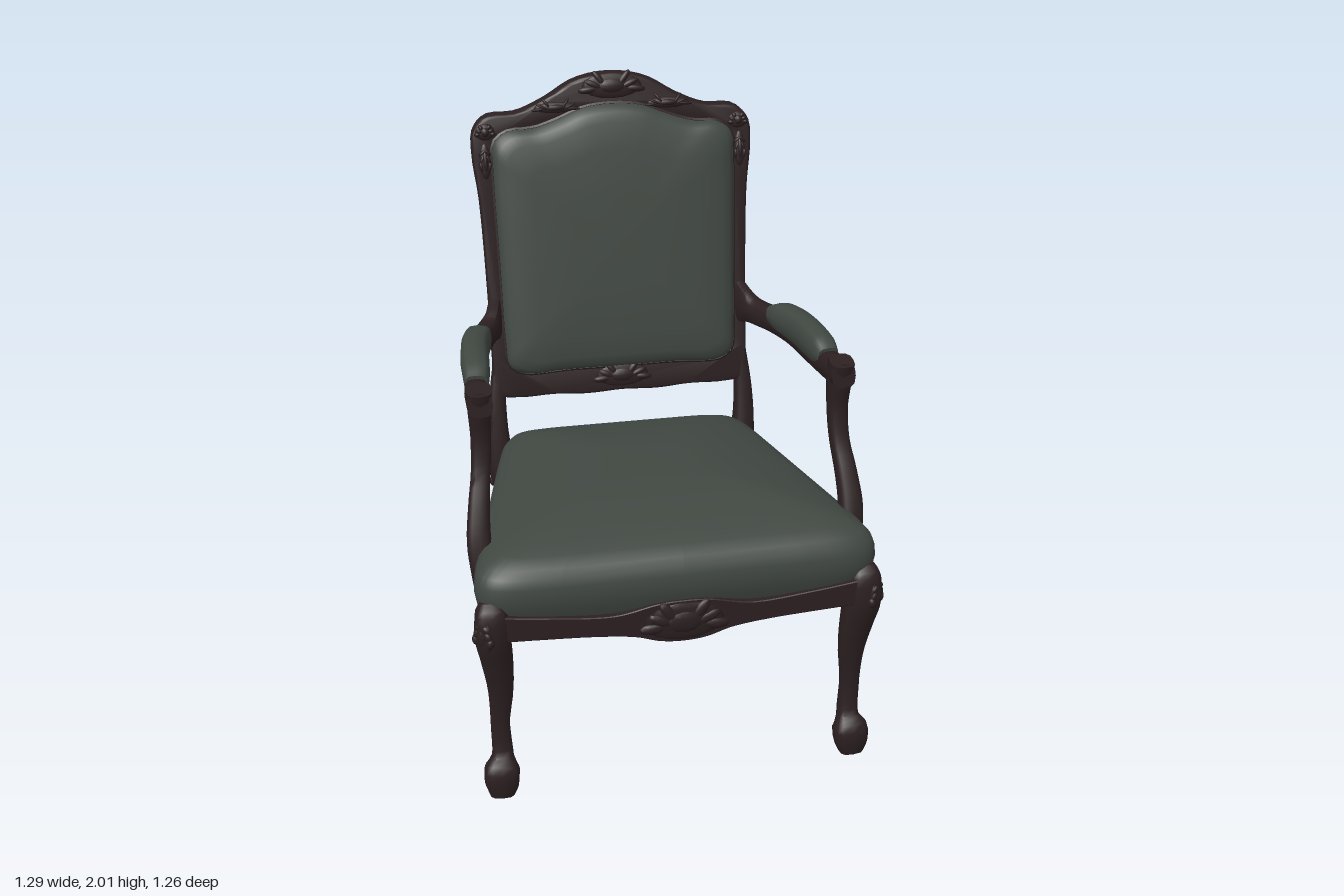
import * as THREE from 'three';
import { toCreasedNormals } from 'three/addons/utils/BufferGeometryUtils.js';

const wood = new THREE.MeshStandardMaterial({ color: 0x2c2021 });
wood.name = 'dark walnut';
const fabric = new THREE.MeshStandardMaterial({ color: 0x414842 });
fabric.name = 'grey green fabric';

const V = (x, y, z) => new THREE.Vector3(x, y, z);

// Skin joining equal-length rings, closed at both ends
function skin(rings, crease = 0.8) {
  const n = rings[0].length, pos = [], idx = [];
  rings.forEach(r => r.forEach(p => pos.push(p.x, p.y, p.z)));
  for (let i = 0; i < rings.length - 1; i++) for (let j = 0; j < n; j++) {
    const a = i * n + j, b = i * n + (j + 1) % n;
    idx.push(a, b, b + n, a, b + n, a + n);
  }
  [0, rings.length - 1].forEach((k, end) => {
    const c = rings[k].reduce((s, p) => s.add(p), V(0, 0, 0)).divideScalar(n);
    const ci = pos.length / 3;
    pos.push(c.x, c.y, c.z);
    for (let j = 0; j < n; j++) {
      const a = k * n + j, b = k * n + (j + 1) % n;
      end ? idx.push(ci, a, b) : idx.push(ci, b, a);
    }
  });
  const g = new THREE.BufferGeometry();
  g.setAttribute('position', new THREE.Float32BufferAttribute(pos, 3));
  g.setIndex(idx);
  g.computeVertexNormals();
  return toCreasedNormals(g, crease);
}

const power = (v, e) => Math.sign(v) * Math.abs(v) ** e;

// Curved bar through stations [x, y, z, width, depth]; side mirrors x
function bar(stations, side = 1, steps = 28, square = 0.65) {
  const curve = new THREE.CatmullRomCurve3(stations.map(s => V(s[0] * side, s[1], s[2])));
  const size = new THREE.CatmullRomCurve3(stations.map(s => V(s[3], s[4], 0)));
  const rings = [];
  for (let i = 0; i <= steps; i++) {
    const p = curve.getPoint(i / steps), t = curve.getTangent(i / steps), s = size.getPoint(i / steps);
    const a = V(1, 0, 0).addScaledVector(t, -t.x).normalize(), b = t.clone().cross(a);
    rings.push(Array.from({ length: 12 }, (_, j) => {
      const w = j / 12 * Math.PI * 2;
      return p.clone().addScaledVector(a, power(Math.cos(w), square) * s.x / 2)
        .addScaledVector(b, power(Math.sin(w), square) * s.y / 2);
    }));
  }
  return skin(rings);
}

// Closed symmetric outline from its right half
function outline(half, count) {
  const left = half.slice(1, -1).reverse().map(([x, y]) => [-x, y]);
  const pts = [...half, ...left].map(([x, y]) => V(x, y, 0));
  return new THREE.CatmullRomCurve3(pts, true, 'centripetal').getPoints(count).slice(0, -1);
}

export function createModel() {
  const chair = new THREE.Group();
  chair.name = 'armchair';
  const add = (name, geo, mat = wood, parent = chair) => {
    const m = new THREE.Mesh(geo, mat);
    m.name = name;
    parent.add(m);
    return m;
  };

  // Low carved shell: oval ground, central boss and fanned leaves
  const bead = new THREE.SphereGeometry(1, 14, 8);
  function carving(name, x, y, z, w, h, turn = 0, tilt = 0) {
    const g = new THREE.Group();
    g.name = name;
    g.position.set(x, y, z);
    g.rotation.set(tilt, turn, 0);
    add('ground', bead, wood, g).scale.set(w * 0.46, h * 0.46, 0.011);
    add('boss', bead, wood, g).scale.set(w * 0.24, h * 0.3, 0.017);
    for (const s of [-1, 1]) for (let k = 0; k < 3; k++) {
      const leaf = add('leaf', bead, wood, g);
      leaf.position.set(s * w * (0.18 + 0.09 * k), h * (0.24 - 0.18 * k), 0);
      leaf.rotation.z = s * (0.9 - 0.5 * k);
      leaf.scale.set(w * 0.16, h * 0.14, 0.013);
    }
    chair.add(g);
  }

  // Seat cushion: rounded trapezoid rings, domed on top
  const seatRing = (inset, y) => Array.from({ length: 96 }, (_, i) => {
    const t = i / 96 * Math.PI * 2;
    const u = power(Math.sin(t), 0.19), v = power(Math.cos(t), 0.19);
    const z = 0.092 + v * (0.518 - inset);
    const half = 0.425 + 0.21 * Math.min(1, (z + 0.42) / 0.95);
    return V(u * (half - inset), y, z);
  });
  const seat = [[0.05, 0.625], [0.02, 0.63], [0.006, 0.67], [0, 0.71], [0.003, 0.745], [0.012, 0.775],
    [0.03, 0.797], [0.07, 0.817], [0.12, 0.832], [0.18, 0.848], [0.26, 0.864], [0.34, 0.876], [0.41, 0.88]];
  add('seatCushion', skin(seat.map(([i, y]) => seatRing(i, y)), 1), fabric);

  // Back: leaning frame, rear panel, beading and padded cushion
  const lean = geo => {
    const p = geo.attributes.position;
    for (let i = 0; i < p.count; i++) p.setZ(i, p.getZ(i) - 0.38 - 0.17 * (p.getY(i) - 0.9));
    geo.computeVertexNormals();
    return toCreasedNormals(geo, 0.7);
  };
  const outer = outline([[0, 0.935], [0.12, 0.93], [0.24, 0.937], [0.36, 0.935], [0.432, 0.95], [0.437, 1.05],
    [0.44, 1.3], [0.45, 1.6], [0.465, 1.74], [0.46, 1.82], [0.42, 1.862], [0.32, 1.87], [0.22, 1.91],
    [0.12, 1.965], [0, 1.985]], 100);
  const inner = outline([[0, 1.015], [0.2, 1.015], [0.34, 1.012], [0.39, 1.04], [0.4, 1.12], [0.405, 1.4],
    [0.41, 1.7], [0.405, 1.79], [0.36, 1.825], [0.27, 1.832], [0.18, 1.86], [0.1, 1.89], [0, 1.9]], 100);
  const flat = pts => pts.map(p => new THREE.Vector2(p.x, p.y));
  const frame = new THREE.Shape(flat(outer));
  frame.holes.push(new THREE.Path(flat(inner)));
  const bevel = { bevelThickness: 0.012, bevelSize: 0.01, bevelSegments: 3 };
  add('backFrame', lean(new THREE.ExtrudeGeometry(frame, { depth: 0.028, ...bevel }).translate(0, 0, -0.04)));
  add('backPanel', lean(new THREE.ExtrudeGeometry(new THREE.Shape(flat(outer)),
    { depth: 0.016, bevelThickness: 0.004, bevelSize: 0.008, bevelSegments: 1 }).translate(0, 0, -0.058)));
  const beading = new THREE.CatmullRomCurve3(inner.filter((_, i) => i % 2 === 0), true);
  add('backBeading', lean(new THREE.TubeGeometry(beading, 120, 0.007, 6, true)));
  const pad = [[1, -0.03], [1, 0.004], [0.985, 0.02], [0.95, 0.034], [0.88, 0.043], [0.7, 0.05], [0.4, 0.053], [0.15, 0.054]]
    .map(([s, z]) => inner.map(p => V(p.x * s, 1.45 + (p.y - 1.45) * s, z)));
  add('backCushion', lean(skin(pad, 1)), fabric);
  const onBack = (name, x, y, w, h) => carving(name, x, y, -0.379 - 0.17 * (y - 0.9), w, h, 0, -0.17);
  onBack('crestCarving', 0, 1.955, 0.22, 0.09);
  onBack('lowerBackCarving', 0, 0.982, 0.2, 0.09);

  // Rail with a scalloped lower edge
  function apron(name, half, end, x, z, turn) {
    const s = new THREE.Shape();
    s.moveTo(-half, 0.66);
    s.lineTo(-half, end);
    s.splineThru([[-0.8, 0.575], [-0.5, 0.565], [-0.28, 0.55], [-0.13, 0.525], [0, 0.518], [0.13, 0.525],
      [0.28, 0.55], [0.5, 0.565], [0.8, 0.575], [1, end]].map(([u, y]) => new THREE.Vector2(u * half, y)));
    s.lineTo(half, 0.66);
    s.splineThru([[0.75, 0.642], [0.4, 0.625], [0.15, 0.65], [0, 0.655], [-0.15, 0.65], [-0.4, 0.625],
      [-0.75, 0.642], [-1, 0.66]].map(([u, y]) => new THREE.Vector2(u * half, y)));
    const geo = new THREE.ExtrudeGeometry(s, { depth: 0.03, bevelThickness: 0.008, bevelSize: 0.004,
      bevelSegments: 2, curveSegments: 40 }).translate(0, 0, -0.038);
    const m = add(name, toCreasedNormals(geo, 0.6));
    m.position.set(x, 0, z);
    m.rotation.y = turn;
    carving(name + 'Carving', x, 0.587, z, 0.27, 0.14, turn);
  }
  apron('frontApron', 0.56, 0.58, 0, 0.607, 0);
  apron('backApron', 0.39, 0.6, 0, -0.425, Math.PI);

  for (const s of [1, -1]) {
    const side = s > 0 ? 'left' : 'right';
    const turn = s * Math.atan2(0.92, -0.17);
    apron(side + 'Apron', 0.45, 0.61, s * 0.523, 0.06, turn);

    // Cabriole front leg with scrolled foot
    add(side + 'FrontLeg', bar([[0.572, 0, 0.558, 0.08, 0.075], [0.57, 0.04, 0.557, 0.108, 0.092],
      [0.568, 0.085, 0.556, 0.112, 0.098], [0.562, 0.13, 0.538, 0.066, 0.06], [0.565, 0.24, 0.53, 0.06, 0.055],
      [0.56, 0.38, 0.54, 0.08, 0.068], [0.57, 0.5, 0.553, 0.1, 0.095], [0.58, 0.58, 0.562, 0.108, 0.112],
      [0.58, 0.655, 0.56, 0.1, 0.11], [0.578, 0.69, 0.55, 0.07, 0.07]], s));
    carving(side + 'KneeCarving', s * 0.611, 0.6, 0.598, 0.075, 0.13, s * 0.78);

    // Back leg and lower stile in one sweep
    add(side + 'BackLeg', bar([[0.39, 0, -0.392, 0.085, 0.08], [0.39, 0.04, -0.39, 0.11, 0.098],
      [0.388, 0.085, -0.388, 0.112, 0.1], [0.38, 0.14, -0.365, 0.065, 0.06], [0.378, 0.28, -0.357, 0.07, 0.058],
      [0.385, 0.42, -0.368, 0.09, 0.075], [0.4, 0.55, -0.388, 0.11, 0.1], [0.425, 0.66, -0.39, 0.105, 0.1],
      [0.438, 0.76, -0.392, 0.075, 0.08], [0.438, 0.9, -0.41, 0.06, 0.065], [0.425, 1.04, -0.43, 0.045, 0.05]], s, 36));
    carving(side + 'BackKneeCarving', s * 0.443, 0.62, -0.425, 0.08, 0.13, s * 2.4);

    // Swept arm support, arm rail and pad
    add(side + 'ArmSupport', bar([[0.565, 0.585, 0.405, 0.075, 0.11], [0.58, 0.7, 0.393, 0.08, 0.085],
      [0.59, 0.8, 0.373, 0.075, 0.075], [0.582, 0.9, 0.335, 0.066, 0.072], [0.568, 1.0, 0.293, 0.06, 0.066],
      [0.562, 1.1, 0.274, 0.062, 0.066], [0.562, 1.19, 0.275, 0.072, 0.085], [0.563, 1.265, 0.29, 0.078, 0.08]], s), wood);
    add(side + 'Arm', bar([[0.563, 1.225, 0.322, 0.076, 0.075], [0.562, 1.215, 0.22, 0.076, 0.085],
      [0.552, 1.2, 0.08, 0.07, 0.07], [0.537, 1.195, -0.1, 0.07, 0.065], [0.505, 1.2, -0.24, 0.074, 0.08],
      [0.465, 1.195, -0.35, 0.068, 0.085], [0.442, 1.2, -0.4, 0.055, 0.12], [0.43, 1.2, -0.45, 0.05, 0.16]], s));
    add(side + 'ArmPad', bar([[0.558, 1.23, 0.172, 0.07, 0.065], [0.553, 1.238, 0.12, 0.084, 0.1],
      [0.547, 1.24, 0.03, 0.09, 0.108], [0.535, 1.237, -0.09, 0.09, 0.106], [0.514, 1.232, -0.19, 0.086, 0.096],
      [0.502, 1.225, -0.245, 0.072, 0.065]], s), fabric);

    // Corner leaves on the back frame
    onBack(side + 'TopCornerCarving', s * 0.43, 1.825, 0.07, 0.06);
    onBack(side + 'StileCarving', s * 0.434, 1.73, 0.04, 0.13);
    onBack(side + 'CrestLeaf', s * 0.19, 1.893, 0.16, 0.04);
  }
  return chair;
}
